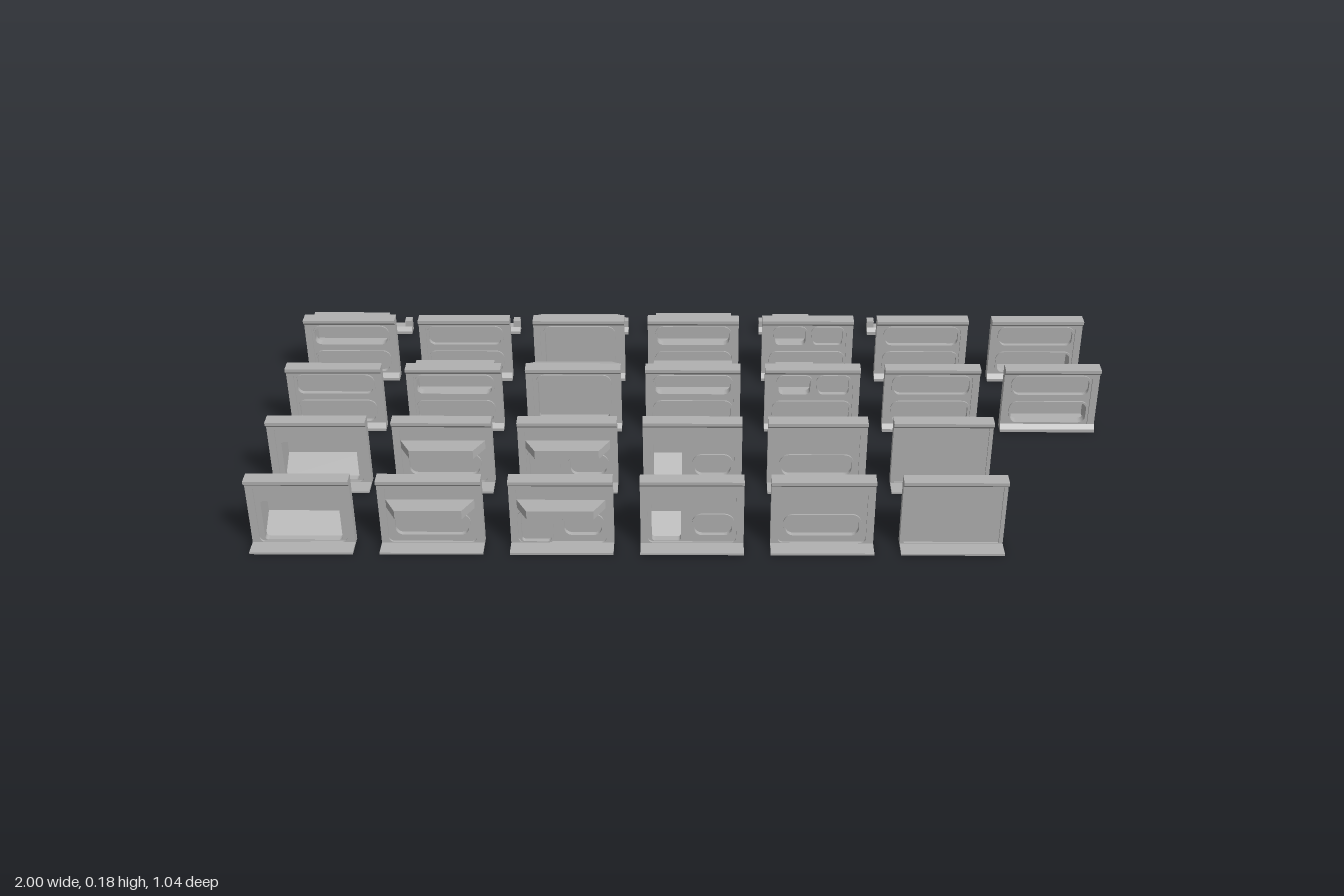
import * as THREE from 'three';

const W = 0.117, H = 0.178, T = 0.022; // panel half width, height, thickness

export function createModel() {
  const root = new THREE.Group();
  const grey = new THREE.MeshStandardMaterial({ color: 0xb0b0b0 });

  function add(parent, name, geometry) {
    const mesh = new THREE.Mesh(geometry, grey);
    mesh.name = name;
    parent.add(mesh);
    return mesh;
  }
  function box(parent, name, x0, x1, y0, y1, z0, z1) {
    const g = new THREE.BoxGeometry(x1 - x0, y1 - y0, z1 - z0);
    g.translate((x0 + x1) / 2, (y0 + y1) / 2, (z0 + z1) / 2);
    return add(parent, name, g);
  }
  // Rounded rectangle given as [x0, x1, y0, y1, radius], grown by m
  function rounded([x0, x1, y0, y1, r], m = 0, C = THREE.Shape) {
    x0 -= m; x1 += m; y0 -= m; y1 += m; r += m;
    const s = new C();
    s.moveTo(x0 + r, y0);
    s.lineTo(x1 - r, y0);
    s.absarc(x1 - r, y0 + r, r, -Math.PI / 2, 0);
    s.lineTo(x1, y1 - r);
    s.absarc(x1 - r, y1 - r, r, 0, Math.PI / 2);
    s.lineTo(x0 + r, y1);
    s.absarc(x0 + r, y1 - r, r, Math.PI / 2, Math.PI);
    s.lineTo(x0, y0 + r);
    s.absarc(x0 + r, y0 + r, r, Math.PI, Math.PI * 1.5);
    return s;
  }
  // Plate between two depths, pierced by rounded holes
  function plate(parent, name, outline, holes, z0, z1) {
    const s = rounded(outline);
    holes.forEach(h => s.holes.push(rounded(h, 0, THREE.Path)));
    const g = new THREE.ExtrudeGeometry(s, { depth: z1 - z0, bevelEnabled: false, curveSegments: 4 });
    return add(parent, name, g.translate(0, 0, z0));
  }
  // Extrude a (z, y) profile along x
  function profileX(parent, name, pts, x0, x1) {
    const s = new THREE.Shape(pts.map(([z, y]) => new THREE.Vector2(-z, y)));
    const g = new THREE.ExtrudeGeometry(s, { depth: x1 - x0, bevelEnabled: false });
    return add(parent, name, g.rotateY(Math.PI / 2).translate(x0, 0, 0));
  }

  // Hollow box behind an opening; rise lifts the back edge of its floor
  function alcove(p, [x0, x1, y0, y1, depth, rise]) {
    const b = -T - depth, t = 0.004;
    const outer = [[-T, y0], [-T, y1], [b, y1], [b, y0 + rise]];
    profileX(p, 'alcoveShell', [
      [-T, y0], [-T, y0 + t], [b + t, y0 + rise + t], [b + t, y1 - t],
      [-T, y1 - t], [-T, y1], [b, y1], [b, y0 + rise]], x0 + t, x1 - t);
    profileX(p, 'alcoveSide', outer, x0, x0 + t);
    profileX(p, 'alcoveSide', outer, x1 - t, x1);
  }

  // Large bay tapering towards its back, with a hollow front
  function bay(p) {
    const ring = (w, y0, y1, z) => [[-w, y0, z], [w, y0, z], [w, y1, z], [-w, y1, z]];
    const loops = [ring(0.115, 0.004, 0.176, -T), ring(0.114, 0.012, 0.169, -0.036),
      ring(0.095, 0.014, 0.166, -0.05), ring(0.09, 0.014, 0.164, -0.05),
      ring(0.09, 0.014, 0.164, -T)];
    const pos = [];
    const quad = (a, b, c, d) => [a, b, c, a, c, d].forEach(v => pos.push(...v));
    for (let i = 0; i < 4; i++) for (let k = 0; k < 4; k++) {
      const n = (k + 1) % 4;
      quad(loops[i][n], loops[i][k], loops[i + 1][k], loops[i + 1][n]);
    }
    const g = new THREE.BufferGeometry();
    g.setAttribute('position', new THREE.Float32BufferAttribute(pos, 3));
    g.computeVertexNormals();
    add(p, 'bayShell', g);
    box(p, 'bayBack', -0.095, 0.095, 0.014, 0.166, -0.05, -0.046);
  }

  function panel(name, x, z, o, grounded) {
    const p = new THREE.Group();
    p.name = name;
    p.position.set(x, 0, z);
    root.add(p);
    const deep = o.deep || [], shallow = o.shallow || [];
    const inner = o.plain ? [-0.108, 0.108, 0.006, 0.16, 0.002] : [-0.1, 0.1, 0.006, 0.158, 0.012];
    // Outer frame, stepped face plate and backing
    plate(p, 'frame', [-W, W, 0, H, 0.0005], [inner], -T, 0);
    plate(p, 'facePlate', [-0.112, 0.112, 0.003, 0.17, 0.001], [...deep, ...shallow], -0.012, -0.005);
    plate(p, 'backPlate', [-0.112, 0.112, 0.003, 0.17, 0.001], deep, -T, -0.012);
    // Raised window rims
    [...shallow, ...(grounded ? [] : deep)].forEach(h => {
      const s = rounded(h, 0.005);
      s.holes.push(rounded(h, 0, THREE.Path));
      const g = new THREE.ExtrudeGeometry(s, { depth: 0.004, bevelEnabled: false, curveSegments: 4 });
      add(p, 'windowRim', g.translate(0, 0, -0.005));
    });
    // Chamfered top cornice and base
    profileX(p, 'cornice', [[-T, H], [-T, 0.16], [0, 0.16], [0.011, 0.17], [0.011, H]], -W, W);
    if (grounded) box(p, 'floorLip', -W, W, 0, 0.005, -T, 0.04);
    else profileX(p, 'baseTrim', [[0, 0], [0, 0.018], [0.011, 0.008], [0.011, 0]], -W, W);
    if (o.shelf) {
      const s = new THREE.Shape([[-0.1, 0.005], [0.1, 0.005], [0.075, -0.04], [-0.075, -0.04]]
        .map(([a, b]) => new THREE.Vector2(a, b)));
      const g = new THREE.ExtrudeGeometry(s, { depth: 0.022, bevelEnabled: false });
      add(p, 'shelf', g.rotateX(-Math.PI / 2).translate(0, 0.098, 0));
    }
    (o.alcoves || []).forEach(a => alcove(p, a));
    if (o.bay) bay(p);
  }

  const columnX = i => -0.883 + i * 0.2943;
  const wide = [-0.083, 0.083, 0.026, 0.078, 0.018];
  const small = [0.005, 0.09, 0.026, 0.078, 0.018];
  const niche = [-0.092, -0.025, 0.008, 0.115, 0.008];
  const lower = [-0.093, 0.093, 0.022, 0.077, 0.016];
  const upper = [-0.093, 0.093, 0.102, 0.15, 0.016];
  const upBox = [-0.097, 0.097, 0.09, 0.168, 0.031, 0];

  // Two front rows of panels with a projecting floor lip
  const frontTypes = [
    { deep: [[-0.088, 0.088, 0.008, 0.115, 0.008]], alcoves: [[-0.095, 0.095, 0.003, 0.128, 0.058, 0.033]] },
    { shelf: true, shallow: [wide] },
    { shelf: true, shallow: [small, [-0.092, -0.025, 0.008, 0.088, 0.008]] },
    { deep: [niche], shallow: [small], alcoves: [[-0.098, -0.02, 0.003, 0.128, 0.058, 0.033]] },
    { shallow: [wide] },
    { plain: true },
  ];
  [0.48, 0.236].forEach(z => frontTypes.forEach((o, i) => panel('floorPanel', columnX(i), z, o, true)));

  // Two rear rows of panels with a trim at top and bottom
  const twin = { shallow: [upper, lower] };
  const upperAlcove = { deep: [upper], shallow: [lower], alcoves: [upBox] };
  const rearTypes = [
    null, null,
    { deep: [[-0.088, 0.088, 0.022, 0.15, 0.016]], bay: true },
    upperAlcove,
    { deep: [[-0.083, -0.005, 0.102, 0.15, 0.012]], shallow: [[0.015, 0.09, 0.102, 0.15, 0.012], lower],
      alcoves: [[-0.09, 0.003, 0.094, 0.168, 0.025, 0]] },
    twin,
    { deep: [lower], shallow: [upper], alcoves: [[-0.097, 0.097, 0.014, 0.094, 0.031, 0]] },
  ];
  [[-0.008, [twin, upperAlcove]], [-0.252, [upperAlcove, twin]]].forEach(([z, first]) =>
    rearTypes.forEach((o, i) => panel('wallPanel', columnX(i), z, o || first[i], false)));

  // Low sills with raised ends
  for (let i = 0; i < 6; i++) {
    const p = new THREE.Group();
    p.name = 'sill';
    p.position.set(columnX(i), 0, -0.496);
    root.add(p);
    profileX(p, 'sillRail', [[-T, 0], [-T, 0.018], [0, 0.018], [0.009, 0.008], [0.009, 0]], -W, W);
    [-1, 1].forEach(s => {
      const a = s * W, b = s * (W - 0.018);
      box(p, 'sillEnd', Math.min(a, b), Math.max(a, b), 0.016, 0.036, -T, 0);
    });
  }
  return root;
}
